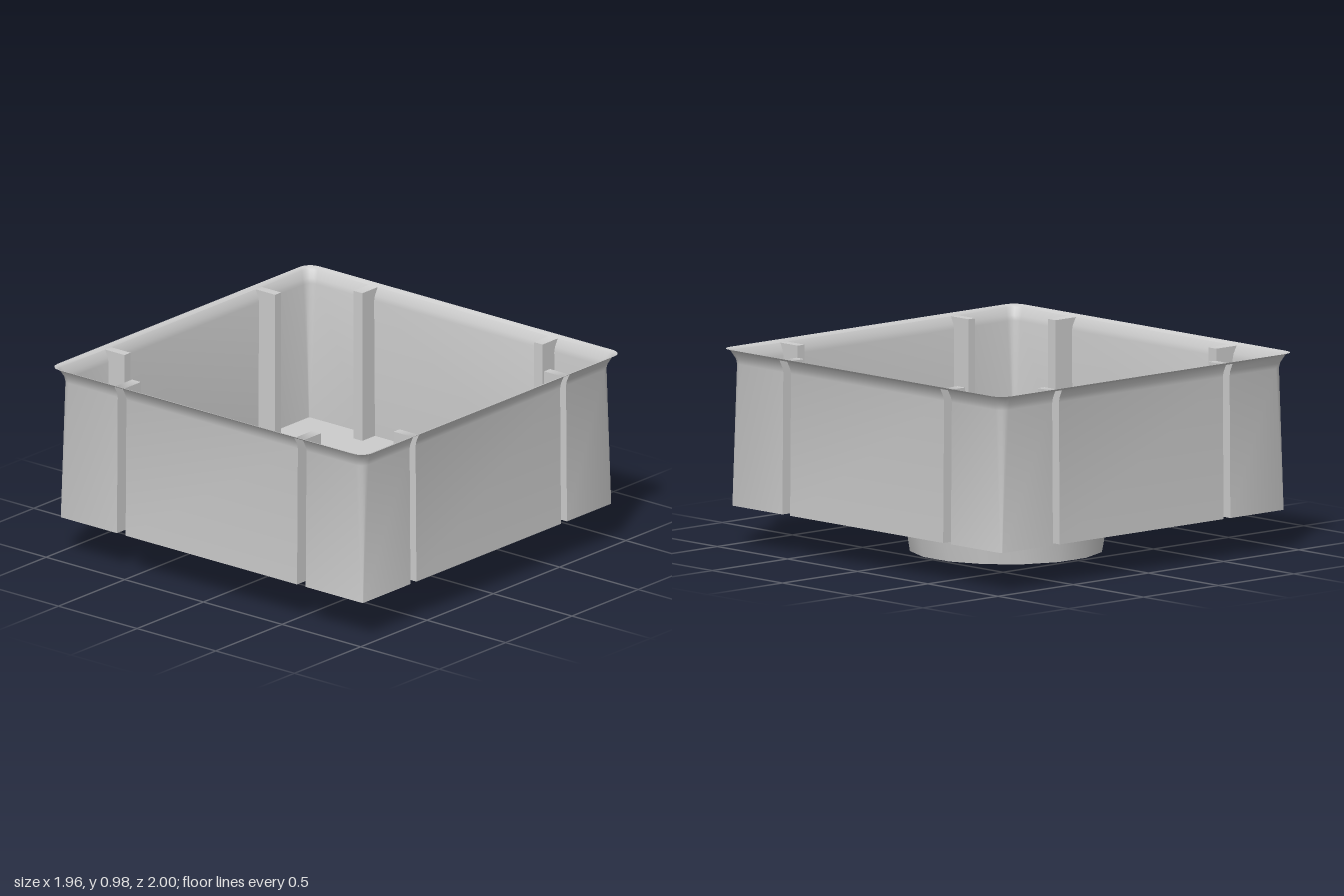
import * as THREE from 'three';
import { toCreasedNormals } from 'three/addons/utils/BufferGeometryUtils.js';

const FLOOR = 0.2, SIDES = 16, CX = 0.01;
const SLOT_X = [[-0.58, -0.535], [0.555, 0.6]]; // slots in the front and back walls
const SLOT_Z = [[-0.6, -0.545], [0.545, 0.6]]; // slots in the side walls
const IN_X = 0.835, IN_Z = 0.855; // how far in the slots reach

// Outline of the tray at one level as [x, z] pairs; slots fold inwards where open
function outline({ hx, hz, r, open }) {
  const pts = [];
  const corner = (sx, sz, start) => {
    for (let i = 0; i <= 4; i++) {
      const a = start - (i / 4) * Math.PI / 2;
      pts.push([sx * (hx - r) + r * Math.cos(a), sz * (hz - r) + r * Math.sin(a)]);
    }
  };
  const alongX = (s) => {
    const list = SLOT_X.map(([a, b]) => (s > 0 ? [a, b] : [b, a]));
    if (s < 0) list.reverse();
    const inner = s * (open ? IN_Z : hz);
    for (const [a, b] of list) pts.push([a, s * hz], [a, inner], [b, inner], [b, s * hz]);
  };
  const alongZ = (s) => {
    const list = SLOT_Z.map(([a, b]) => (s > 0 ? [b, a] : [a, b]));
    if (s > 0) list.reverse();
    const inner = open ? s * IN_X + CX : s * hx;
    for (const [a, b] of list) pts.push([s * hx, a], [inner, a], [inner, b], [s * hx, b]);
  };
  alongX(1);
  corner(1, 1, Math.PI / 2);
  alongZ(1);
  corner(1, -1, 0);
  alongX(-1);
  corner(-1, -1, -Math.PI / 2);
  alongZ(-1);
  corner(-1, 1, Math.PI);
  return pts;
}

// Skin stacked outlines, leaving out empty triangles
function loft(levels) {
  const rings = levels.map((l) => outline(l).map(([x, z]) => new THREE.Vector3(x, l.y, z)));
  const pos = [], tri = new THREE.Triangle();
  const add = (a, b, c) => {
    if (tri.set(a, b, c).getArea() > 1e-8) for (const v of [a, b, c]) pos.push(v.x, v.y, v.z);
  };
  for (let k = 0; k < rings.length - 1; k++) {
    const lo = rings[k], hi = rings[k + 1];
    for (let i = 0; i < lo.length; i++) {
      const j = (i + 1) % lo.length;
      add(lo[i], lo[j], hi[j]);
      add(lo[i], hi[j], hi[i]);
    }
  }
  const g = new THREE.BufferGeometry();
  g.setAttribute('position', new THREE.Float32BufferAttribute(pos, 3));
  return g;
}

export function createModel() {
  const group = new THREE.Group();
  const material = new THREE.MeshStandardMaterial({ color: 0xcccccc, side: THREE.DoubleSide });
  const add = (name, geometry) => {
    const mesh = new THREE.Mesh(geometry, material);
    mesh.name = name;
    group.add(mesh);
    return mesh;
  };

  // Walls with folded-in slots, capped just under a flared rim with a thin flat lip
  const levels = [
    { y: FLOOR, hx: 0.94, hz: 0.9625, r: 0.01, open: true },
    { y: 0.9, hx: 0.934, hz: 0.957, r: 0.045, open: true },
    { y: 0.925, hx: 0.94, hz: 0.962, r: 0.05, open: true },
    { y: 0.962, hx: 0.96, hz: 0.979, r: 0.055, open: true },
    { y: 0.962, hx: 0.96, hz: 0.979, r: 0.055, open: false },
    { y: 0.972, hx: 0.968, hz: 0.987, r: 0.06, open: false },
    { y: 0.975, hx: 0.98, hz: 1, r: 0.065, open: false },
  ];
  add('walls', toCreasedNormals(loft(levels), 0.9));

  // Floor sheet, notched by the slots, with an opening for the well
  const flat = outline(levels[0]).map(([x, z]) => new THREE.Vector2(x, -z));
  const shape = new THREE.Shape(flat);
  const R = 0.6525;
  const hole = [];
  for (let i = 0; i < SIDES; i++) {
    const a = ((i + 0.5) / SIDES) * Math.PI * 2;
    hole.push(new THREE.Vector2(CX + R * Math.cos(a), R * Math.sin(a)));
  }
  shape.holes.push(new THREE.Path(hole));
  const floor = add('floor', new THREE.ShapeGeometry(shape));
  floor.rotation.x = -Math.PI / 2;
  floor.position.y = FLOOR;

  // Raised ring around a tapered round well that forms the foot
  const profile = [[0, 0], [0.476, 0], [0.518, 0.27], [0.617, 0.27], [R, FLOOR]]
    .map(([x, y]) => new THREE.Vector2(x, y));
  const well = add('ringAndWell',
    toCreasedNormals(new THREE.LatheGeometry(profile, SIDES, Math.PI / SIDES), 0.7));
  well.position.x = CX;

  return group;
}
